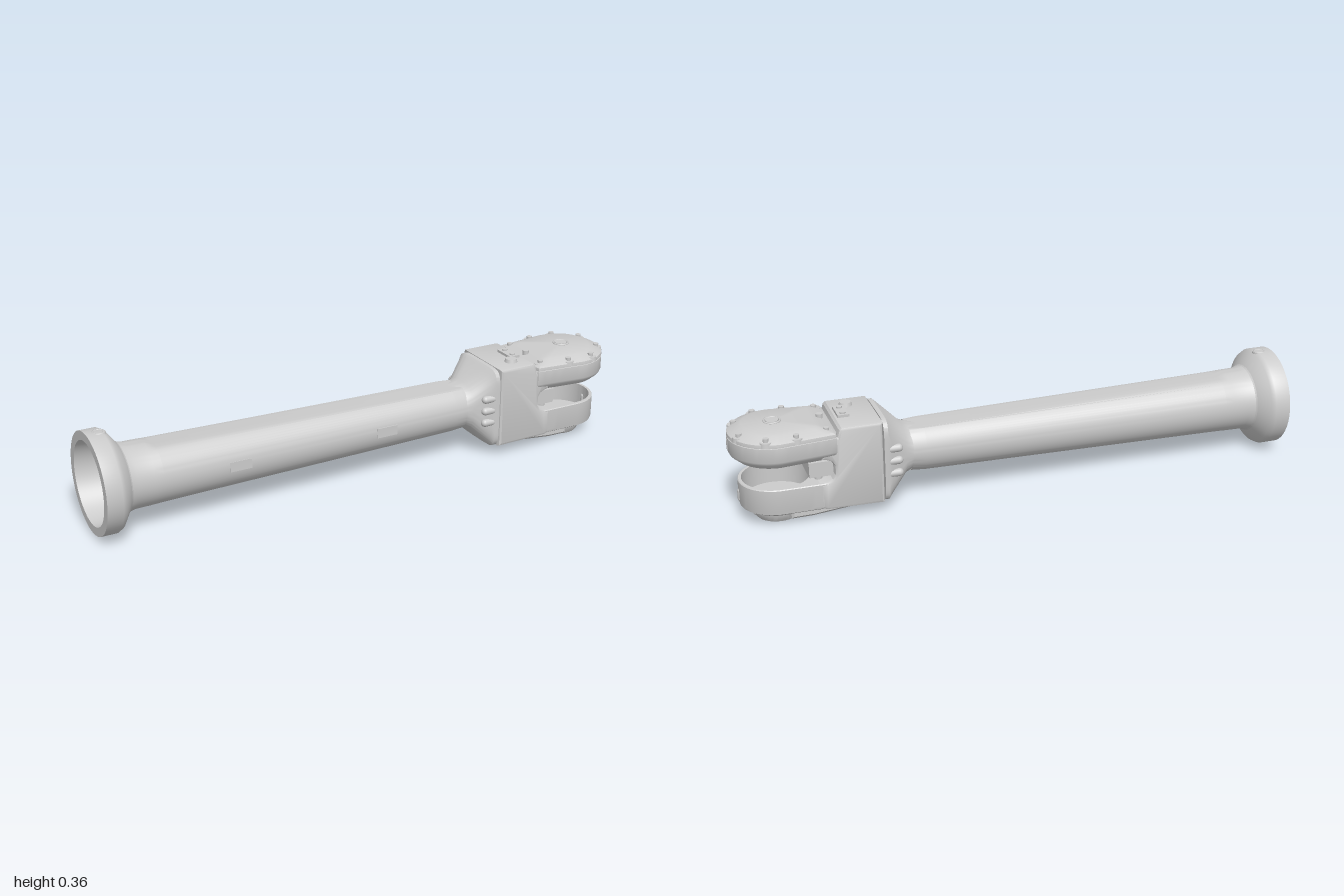
import * as THREE from 'three';
import { toCreasedNormals } from 'three/addons/utils/BufferGeometryUtils.js';

const CY = 0.183; // height of the tube axis
const SEG = 72;
const material = new THREE.MeshStandardMaterial({ color: 0xcccccc, side: THREE.DoubleSide });

// Skin a list of equally sized closed rings
function loft(rings) {
  const pos = [], index = [], n = rings[0].length;
  rings.forEach(r => r.forEach(p => pos.push(...p)));
  for (let j = 0; j < rings.length - 1; j++) {
    for (let i = 0; i < n; i++) {
      const a = j * n + i, b = j * n + (i + 1) % n;
      index.push(a, a + n, b, b, a + n, b + n);
    }
  }
  const g = new THREE.BufferGeometry();
  g.setAttribute('position', new THREE.Float32BufferAttribute(pos, 3));
  g.setIndex(index);
  return toCreasedNormals(g, 0.5);
}

const ring = fn => Array.from({ length: SEG }, (_, i) => fn((i / SEG) * Math.PI * 2));

// Round section across x, with optional flats at top and bottom
const tubeRing = ([x, r, flat = r]) => ring(a =>
  [x, CY + THREE.MathUtils.clamp(r * Math.sin(a), -flat, flat), r * Math.cos(a)]);

// Section that goes from ellipse (n = 2) to rounded box (n larger)
const boxRing = ([x, hy, hz, n]) => ring(a => {
  const s = Math.sin(a), c = Math.cos(a);
  return [x, CY + hy * Math.sign(s) * Math.abs(s) ** (2 / n), hz * Math.sign(c) * Math.abs(c) ** (2 / n)];
});

// Fork end outline: round nose, sides narrowing by slope k to a straight back at distance d
function outline(a, R, k, d) {
  const c = Math.cos(a), s = Math.abs(Math.sin(a));
  return c >= 0 ? R : Math.min(R / (s - k * c), d / -c);
}

// Levels are [y, outline scale] or [y, 0, circle radius]
const forkEnd = (cx, R, k, d, levels) => loft(levels.map(([y, s, r]) => ring(a => {
  const q = r !== undefined ? r : s * outline(a, R, k, d);
  return [cx + q * Math.cos(a), y, q * Math.sin(a)];
})));

// Extrude an x-y profile symmetrically in z
function sideExtrude(points, halfWidth, bevelThickness, bevelSize) {
  const shape = new THREE.Shape(points.map(p => new THREE.Vector2(...p)));
  const g = new THREE.ExtrudeGeometry(shape, {
    depth: 2 * (halfWidth - bevelThickness), bevelThickness, bevelSize,
    bevelOffset: -bevelSize, bevelSegments: 2, curveSegments: 8
  });
  return toCreasedNormals(g.translate(0, 0, bevelThickness - halfWidth), 0.5);
}

export function createModel() {
  const model = new THREE.Group();
  const add = (name, geometry, x = 0, y = 0, z = 0, parent = model) => {
    const m = new THREE.Mesh(geometry, material);
    m.name = name;
    m.position.set(x, y, z);
    parent.add(m);
    return m;
  };
  const group = name => {
    const g = new THREE.Group();
    g.name = name;
    model.add(g);
    return g;
  };

  // Hollow tube with flared open end
  add('tube', loft([
    [0.35, 0], [0.35, 0.066], [-0.86, 0.095], [-0.92, 0.14], [-1, 0.145],
    [-1, 0.176], [-0.945, 0.176], [-0.93, 0.168], [-0.895, 0.12], [-0.87, 0.113],
    [-0.81, 0.112], [-0.78, 0.111, 0.099], [0.34, 0.094, 0.077], [0.39, 0.09, 0.077]
  ].map(tubeRing)));

  // Filler boss on the flared end
  add('endBoss', new THREE.CylinderGeometry(0.024, 0.034, 0.05, 24), -0.955, 0.332, 0);
  const bossRim = add('endBossRim', new THREE.TorusGeometry(0.018, 0.005, 8, 24), -0.955, 0.355, 0);
  bossRim.rotation.x = Math.PI / 2;

  // Shallow pads on the tube side
  for (const [x, z] of [[-0.51, 0.106], [0.05, 0.099]])
    add('sidePad', new THREE.BoxGeometry(0.08, 0.035, 0.004), x, CY, z);

  // Neck flaring from the tube to the square joint
  add('neck', loft([
    [0.33, 0.074, 0.09, 2], [0.385, 0.08, 0.09, 2.2], [0.41, 0.088, 0.093, 2.6],
    [0.47, 0.142, 0.122, 5], [0.482, 0.15, 0.127, 7], [0.497, 0.15, 0.127, 7], [0.497, 0, 0, 2]
  ].map(boxRing)));

  // Joint bolts in a column on both sides of the neck
  const bolts = group('neckBolts');
  for (const side of [-1, 1]) {
    for (const dy of [-0.045, 0, 0.045]) {
      const b = add('neckBolt', new THREE.CapsuleGeometry(0.014, 0.03, 6, 16), 0.46, CY + dy, side * 0.113, bolts);
      b.rotation.z = Math.PI / 2;
    }
  }

  // Forked block: back, two arms and the rounded slot between them
  add('forkBlock', sideExtrude([
    [0.5, 0.333], [0.5, 0.038], [0.7, 0.042], [0.72, 0.05], [0.72, 0.14], [0.695, 0.143],
    [0.677, 0.152], [0.668, 0.167], [0.668, 0.2], [0.677, 0.214], [0.695, 0.222],
    [0.71, 0.225], [0.71, 0.298], [0.655, 0.302], [0.648, 0.326], [0.64, 0.333]
  ], 0.128, 0.012, 0.01));

  // Tapered keel under the lower arm
  add('lowerKeel', sideExtrude([
    [0.5, 0.07], [0.5, 0.032], [0.6, 0.027], [0.74, 0.013], [0.82, 0.012], [0.82, 0.05], [0.7, 0.07]
  ], 0.105, 0.03, 0.012));

  // Lower arm end: open cup with stepped boss below
  add('lowerForkEnd', forkEnd(0.845, 0.127, 0, 0.18, [
    [0, 0, 0], [0, 0, 0.072], [0.006, 0, 0.077], [0.026, 0, 0.082], [0.032, 0.74], [0.05, 0.98],
    [0.06, 1], [0.137, 1], [0.14, 0.98], [0.14, 0, 0.115], [0.06, 0, 0.115], [0.06, 0, 0]
  ]));

  // Upper arm end: bore open downward, bolted domed cover on top
  add('upperForkEnd', forkEnd(0.845, 0.152, 0.11, 0.192, [
    [0.285, 0, 0], [0.285, 0, 0.116], [0.22, 0, 0.116], [0.22, 0.82], [0.24, 0.97], [0.25, 1],
    [0.3, 1], [0.301, 0.985], [0.304, 0.985], [0.305, 1], [0.314, 0.99],
    [0.319, 0.94], [0.331, 0.76], [0.336, 0.68], [0.338, 0, 0]
  ]));

  // Cover bolts with washers
  const coverBolts = group('coverBolts');
  for (const [x, z] of [[0.685, 0.1], [0.79, 0.125], [0.89, 0.125], [0.965, 0.055]]) {
    for (const side of [-1, 1]) {
      add('washer', new THREE.CylinderGeometry(0.021, 0.023, 0.016, 20), x, 0.312, side * z, coverBolts);
      add('coverBolt', new THREE.CylinderGeometry(0.01, 0.01, 0.03, 12), x, 0.317, side * z, coverBolts);
    }
  }
  add('coverBolt', new THREE.CylinderGeometry(0.012, 0.012, 0.03, 12), 0.685, 0.324, 0.005, coverBolts);

  // Ring and plug at the cover centre
  add('centrePlug', new THREE.CylinderGeometry(0.022, 0.022, 0.008, 24), 0.845, 0.337, 0);
  const plugRing = add('centreRing', new THREE.TorusGeometry(0.027, 0.004, 8, 28), 0.845, 0.338, 0);
  plugRing.rotation.x = Math.PI / 2;

  // Cross bar at the back of the slot
  add('slotBar', new THREE.BoxGeometry(0.09, 0.053, 0.2), 0.705, 0.182, 0);
  for (const side of [-1, 1])
    add('slotPin', new THREE.CylinderGeometry(0.013, 0.013, 0.09, 14), 0.715, 0.182, side * 0.075);

  // Fittings on top of the block
  add('topPlate', new THREE.BoxGeometry(0.04, 0.012, 0.084), 0.612, 0.336, 0);
  for (const z of [-0.025, 0.025])
    add('topPlateScrew', new THREE.CylinderGeometry(0.01, 0.01, 0.012, 12), 0.612, 0.341, z);
  add('topPlug', new THREE.CylinderGeometry(0.02, 0.024, 0.014, 20), 0.582, 0.338, 0.062);

  // Small upright ribs on the fork noses and the lower boss
  for (const [x, y] of [[0.989, 0.275], [0.966, 0.085], [0.919, 0.027]])
    add('noseRib', new THREE.CapsuleGeometry(0.011, 0.028, 5, 12), x, y, 0);

  return model;
}
